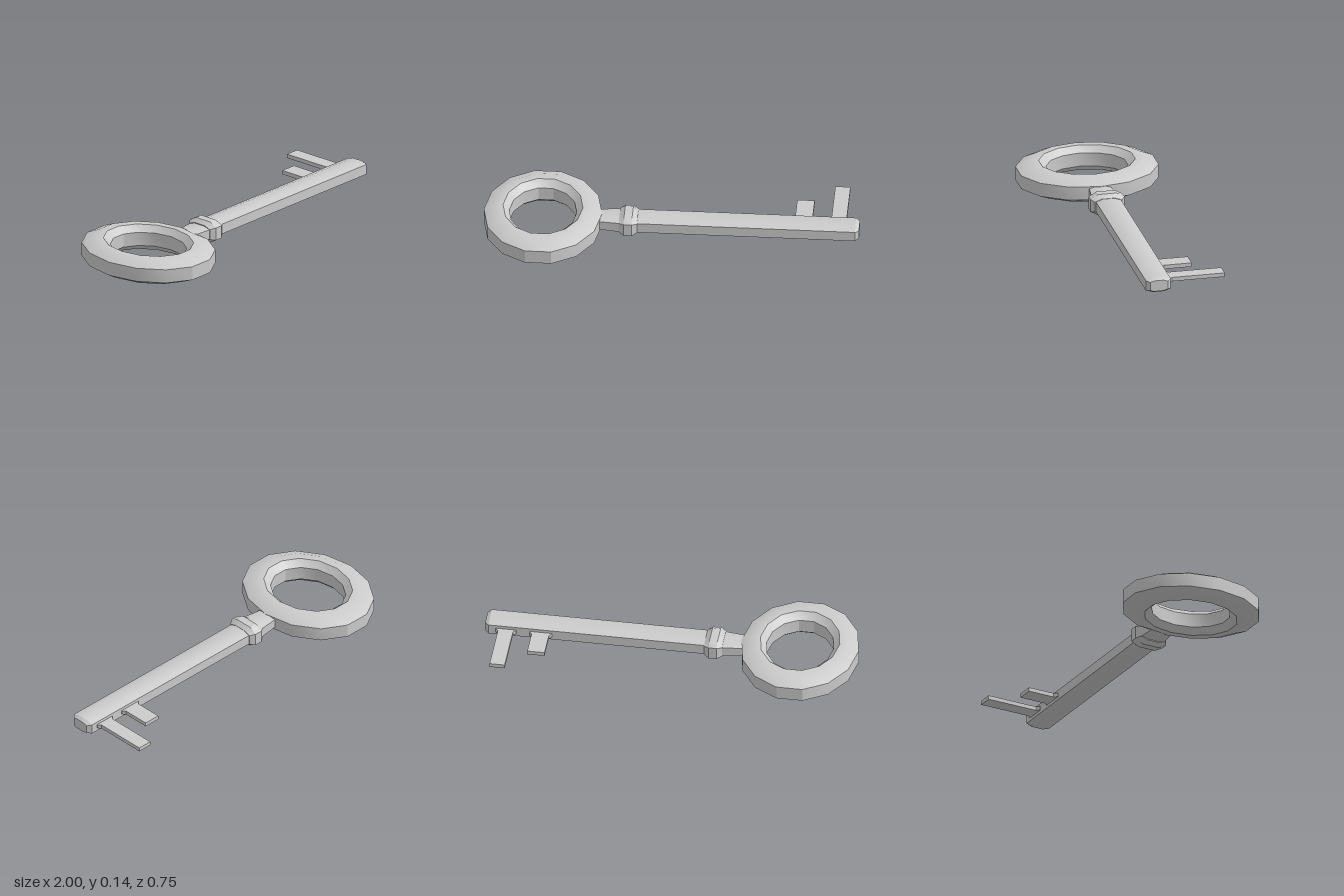
import * as THREE from 'three';
import { toCreasedNormals } from 'three/addons/utils/BufferGeometryUtils.js';

const MID_Y = 0.071;
const CREASE = 0.5;

// Eight-sided bar along x; each section is [x, halfZ, halfY, flatZ, flatY].
function loft(sections) {
  const pos = [], idx = [], n = 8;
  for (const [x, hz, hy, fz, fy] of sections) {
    const loop = [[hy, -fz], [hy, fz], [fy, hz], [-fy, hz], [-hy, fz], [-hy, -fz], [-fy, -hz], [fy, -hz]];
    for (const [y, z] of loop) pos.push(x, MID_Y + y, z);
  }
  const last = (sections.length - 1) * n;
  for (let i = 0; i < last; i += n) {
    for (let j = 0; j < n; j++) {
      const k = (j + 1) % n;
      idx.push(i + j, i + k, i + n + k, i + j, i + n + k, i + n + j);
    }
  }
  // end caps
  for (let j = 1; j < n - 1; j++) {
    idx.push(0, j + 1, j, last, last + j, last + j + 1);
  }
  const g = new THREE.BufferGeometry();
  g.setAttribute('position', new THREE.Float32BufferAttribute(pos, 3));
  g.setIndex(idx);
  return g;
}

// Flat tooth with small flares where it meets the shaft.
function toothGeometry(x0, x1, reach) {
  const s = new THREE.Shape();
  s.moveTo(x0 - 0.015, 0.04);
  s.lineTo(x0 - 0.015, 0.07);
  s.lineTo(x0, 0.087);
  s.lineTo(x0, reach);
  s.lineTo(x1, reach);
  s.lineTo(x1, 0.087);
  s.lineTo(x1 + 0.015, 0.07);
  s.lineTo(x1 + 0.015, 0.04);
  s.closePath();
  const g = new THREE.ExtrudeGeometry(s, { depth: 0.022, bevelEnabled: false });
  g.rotateX(-Math.PI / 2);
  g.translate(0, MID_Y - 0.011, 0);
  return g;
}

export function createModel() {
  const group = new THREE.Group();
  const material = new THREE.MeshStandardMaterial({ color: 0xcccccc });
  const add = (name, geometry) => {
    const mesh = new THREE.Mesh(toCreasedNormals(geometry, CREASE), material);
    mesh.name = name;
    group.add(mesh);
  };

  // Oval ring handle: a chamfered profile turned in 14 steps, stretched along z
  const profile = [
    [0.18, 0.033], [0.213, 0], [0.253, 0], [0.315, 0.033],
    [0.315, 0.108], [0.253, 0.141], [0.213, 0.141], [0.18, 0.108], [0.18, 0.033],
  ].map(([r, y]) => new THREE.Vector2(r, y));
  const ring = new THREE.LatheGeometry(profile, 14, Math.PI / 2);
  ring.scale(1, 1, 1.219);
  ring.translate(-0.685, 0, 0);
  add('ringHandle', ring);

  // Neck widening from the ring to the collar
  add('neck', loft([
    [-0.42, 0.055, 0.034, 0.028, 0.024],
    [-0.37, 0.06, 0.035, 0.03, 0.025],
    [-0.27, 0.072, 0.038, 0.033, 0.027],
  ]));

  // Raised collar
  add('collar', loft([
    [-0.277, 0.073, 0.042, 0.036, 0.028],
    [-0.25, 0.093, 0.059, 0.05, 0.035],
    [-0.207, 0.093, 0.059, 0.05, 0.035],
    [-0.18, 0.073, 0.042, 0.036, 0.028],
  ]));

  // Shaft with a chamfered tip
  add('shaft', loft([
    [-0.2, 0.068, 0.041, 0.03, 0.028],
    [0.98, 0.068, 0.041, 0.03, 0.028],
    [1, 0.048, 0.03, 0.026, 0.022],
  ]));

  // Teeth
  add('shortTooth', toothGeometry(0.652, 0.745, 0.237));
  add('longTooth', toothGeometry(0.845, 0.926, 0.375));

  return group;
}
